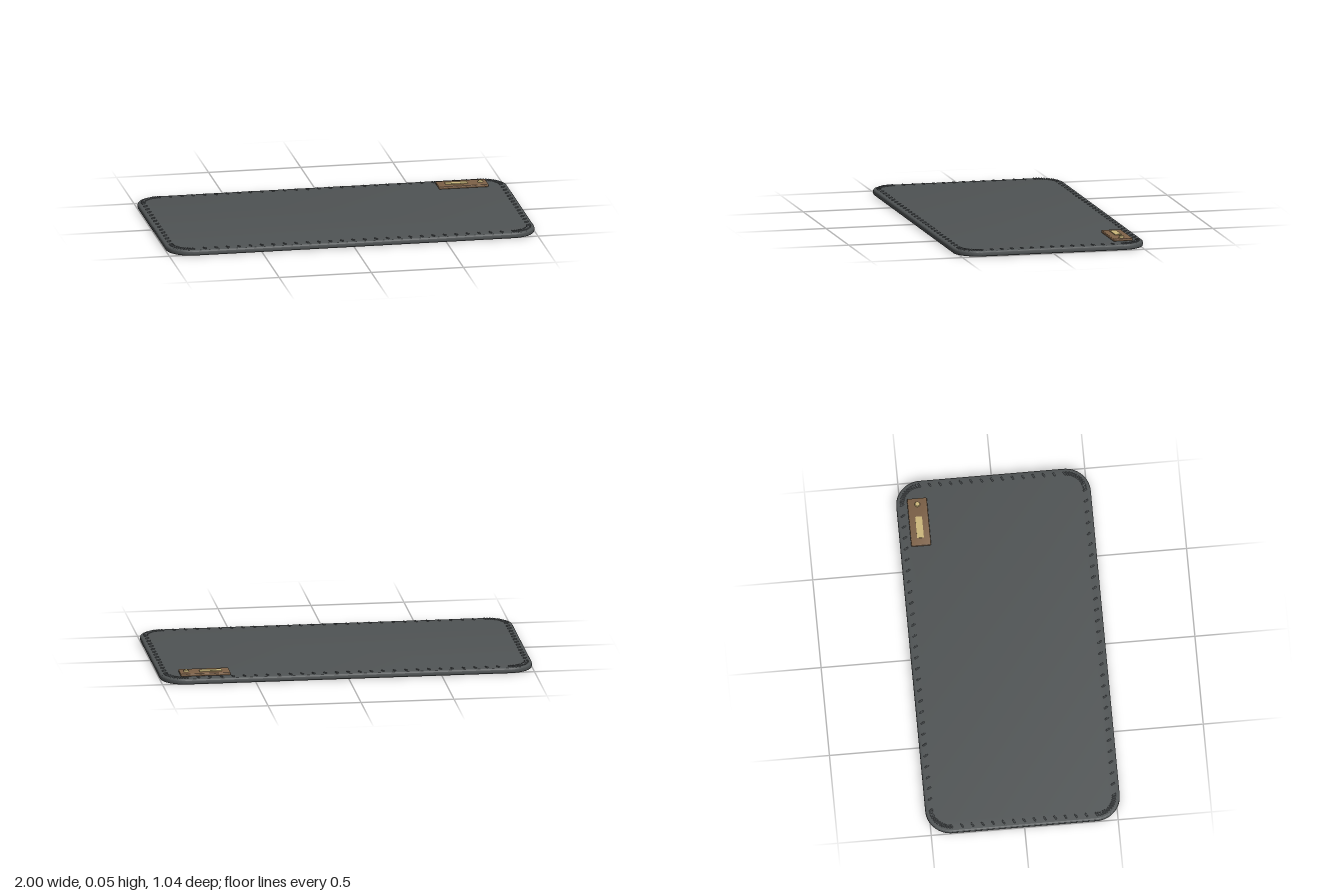
import * as THREE from 'three';
import { toCreasedNormals } from 'three/addons/utils/BufferGeometryUtils.js';

const material = (name, color) => {
  const m = new THREE.MeshStandardMaterial({ color });
  m.name = name;
  return m;
};

function roundedRect(hx, hz, r) {
  const s = new THREE.Shape();
  s.moveTo(hx, -hz + r);
  s.absarc(hx - r, hz - r, r, 0, Math.PI / 2);
  s.absarc(-hx + r, hz - r, r, Math.PI / 2, Math.PI);
  s.absarc(-hx + r, -hz + r, r, Math.PI, Math.PI * 1.5);
  s.absarc(hx - r, -hz + r, r, Math.PI * 1.5, Math.PI * 2);
  return s;
}

// Horizontal rounded slab with softened rims, resting on y = 0
function slab(hx, hz, r, height, bevel) {
  const g = new THREE.ExtrudeGeometry(roundedRect(hx - bevel, hz - bevel, r - bevel), {
    depth: height - 2 * bevel, bevelEnabled: true, bevelSize: bevel,
    bevelThickness: bevel, bevelSegments: 3, curveSegments: 14,
  });
  g.translate(0, 0, bevel).rotateX(-Math.PI / 2);
  return toCreasedNormals(g, 0.6);
}

export function createModel() {
  const felt = material('charcoal felt', 0x505455);
  const thread = material('grey thread', 0x63686b);
  const leather = material('brown leather', 0x7e6248);
  const brass = material('pale brass', 0xcdb87c);

  const model = new THREE.Group();
  model.name = 'deskMat';
  const add = (name, geometry, mat, x, y, z) => {
    const mesh = new THREE.Mesh(geometry, mat);
    mesh.name = name;
    mesh.position.set(x, y, z);
    model.add(mesh);
    return mesh;
  };

  add('mat', slab(1, 0.52, 0.135, 0.03, 0.008), felt, 0, 0, 0);

  // Slanted stitches: spaced along the straight edges, dense round the corners
  const stitches = new THREE.Group();
  stitches.name = 'stitching';
  model.add(stitches);
  const stitchGeometry = new THREE.CapsuleGeometry(0.0042, 0.016, 3, 8).rotateZ(Math.PI / 2);
  const stitch = (x, z, angle) => {
    const mesh = new THREE.Mesh(stitchGeometry, thread);
    mesh.name = 'stitch';
    mesh.position.set(x, 0.0325, z);
    mesh.rotation.y = -angle + 0.5; // angle is the outward direction
    stitches.add(mesh);
  };
  const cx = 0.868, cz = 0.388, inset = 0.102, arcSteps = 12;
  for (let i = -13; i <= 13; i++) {
    for (const side of [-1, 1]) stitch(i * cx / 14, side * (cz + inset), side * Math.PI / 2);
  }
  for (let i = -6; i <= 6; i++) {
    for (const side of [-1, 1]) stitch(side * (cx + inset), i * cz / 7, side > 0 ? 0 : Math.PI);
  }
  for (let corner = 0; corner < 4; corner++) {
    const sx = corner === 0 || corner === 3 ? 1 : -1;
    const sz = corner < 2 ? 1 : -1;
    for (let i = 0; i <= arcSteps; i++) {
      const a = (corner + i / arcSteps) * Math.PI / 2;
      stitch(sx * cx + inset * Math.cos(a), sz * cz + inset * Math.sin(a), a);
    }
  }

  // Leather tag with a brass plate and a rivet
  const tagZ = -0.408;
  add('leatherTag', slab(0.134, 0.053, 0.006, 0.014, 0.003), leather, 0.762, 0.03, tagZ);
  add('brassPlate', new THREE.BoxGeometry(0.12, 0.005, 0.036), brass, 0.73, 0.0455, tagZ);
  add('rivet', new THREE.CylinderGeometry(0.012, 0.015, 0.01, 20), brass, 0.861, 0.048, tagZ);

  return model;
}
